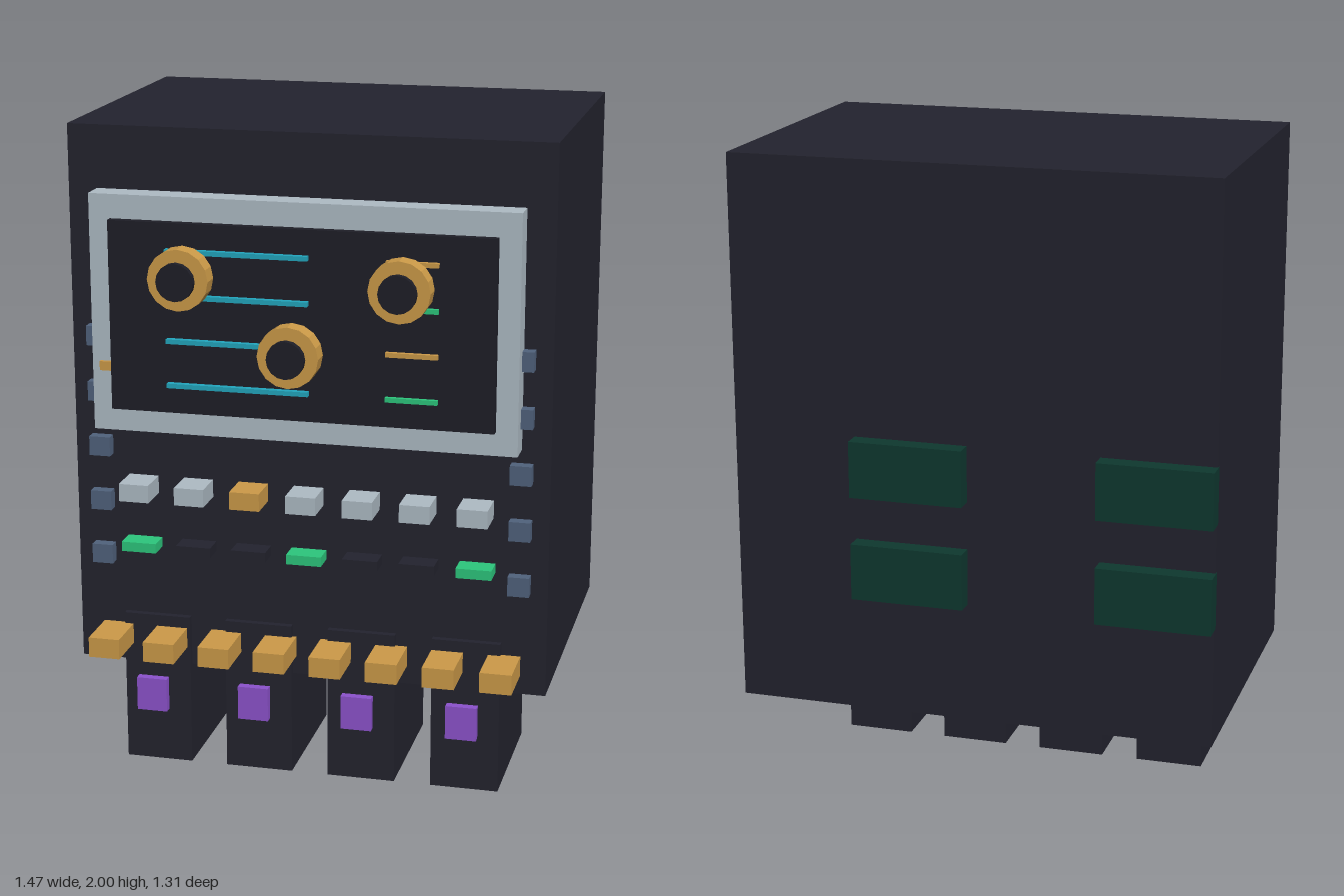
import * as THREE from 'three';

const mat = (name, color) => {
  const m = new THREE.MeshStandardMaterial({ color, flatShading: true });
  m.name = name;
  return m;
};

export function createModel() {
  const model = new THREE.Group();
  model.name = 'controlCabinet';
  const dark = mat('charcoal', 0x23232e);
  const screenDark = mat('screenBlack', 0x1e1e27);
  const silver = mat('silver', 0xaebbc4);
  const gold = mat('gold', 0xcc9a48);
  const green = mat('green', 0x2cc67c);
  const cyan = mat('cyan', 0x22a6bd);
  const slate = mat('slate', 0x50627c);
  const purple = mat('purple', 0x8c52cc);
  const deepGreen = mat('deepGreen', 0x0e382f);

  // Box given by its centre and size in x and y, and its z range
  const box = (name, m, x, y, w, h, z0, z1) => {
    const mesh = new THREE.Mesh(new THREE.BoxGeometry(w, h, z1 - z0), m);
    mesh.position.set(x, y, (z0 + z1) / 2);
    mesh.name = name;
    model.add(mesh);
  };
  // Disc facing the front
  const disc = (name, m, x, y, r, z0, z1) => {
    const geo = new THREE.CylinderGeometry(r, r, z1 - z0, 16).rotateX(Math.PI / 2);
    const mesh = new THREE.Mesh(geo, m);
    mesh.position.set(x, y, (z0 + z1) / 2);
    mesh.name = name;
    model.add(mesh);
  };

  // Cabinet, display frame and screen
  box('cabinet', dark, 0, 1.16, 1.465, 1.68, -0.6, 0.38);
  box('displayFrame', silver, 0, 1.45, 1.29, 0.72, 0.38, 0.46);
  box('screen', screenDark, 0, 1.45, 1.16, 0.575, 0.455, 0.485);
  box('frameMarker', gold, -0.595, 1.29, 0.05, 0.028, 0.45, 0.472);

  // Readout lines on the screen
  [1.655, 1.52, 1.385, 1.25].forEach((y, i) => {
    box('longReadout', cyan, -0.187, y, 0.43, 0.014, 0.484, 0.504);
    box('shortReadout', i % 2 ? green : gold, 0.337, y, 0.155, 0.014, 0.491, 0.505);
  });

  // Dials with dark caps
  for (const [x, y] of [[-0.325, 1.6], [0.325, 1.6], [0, 1.39]]) {
    disc('dial', gold, x, y, 0.091, 0.568, 0.626);
    disc('dialCap', screenDark, x, y, 0.056, 0.636, 0.656);
  }

  // Studs down both sides
  for (let i = 0; i < 5; i++) {
    for (const side of [-1, 1]) {
      box('sideStud', slate, side * 0.648, 1.365 - i * 0.173, 0.065, 0.06, 0.37, 0.415);
    }
  }

  // Push buttons and indicator lights
  for (let i = 0; i < 7; i++) {
    const x = (i - 3) * 0.173;
    box('button', i === 2 ? gold : silver, x, 0.9, 0.092, 0.055, 0.37, 0.487);
    box('indicator', i % 3 ? dark : green, x, 0.715, 0.108, 0.03, 0.37, 0.45);
  }

  // Row of front keys
  for (let i = 0; i < 8; i++) {
    box('key', gold, (i - 3.5) * 0.1735, 0.413, 0.097, 0.063, 0.39, 0.545);
  }

  // Legs with purple plates
  for (let i = 0; i < 4; i++) {
    const x = (i - 1.5) * 0.324 + 0.005;
    box('leg', dark, x, 0.24, 0.21, 0.48, -0.05, 0.4);
    box('legPlate', purple, x, 0.243, 0.095, 0.106, 0.444, 0.47);
  }

  // Rear panels
  for (const x of [-0.562, 0.184]) {
    for (const y of [1.09, 0.773]) {
      box('rearPanel', deepGreen, x, y, 0.345, 0.172, -0.656, -0.59);
    }
  }
  return model;
}
